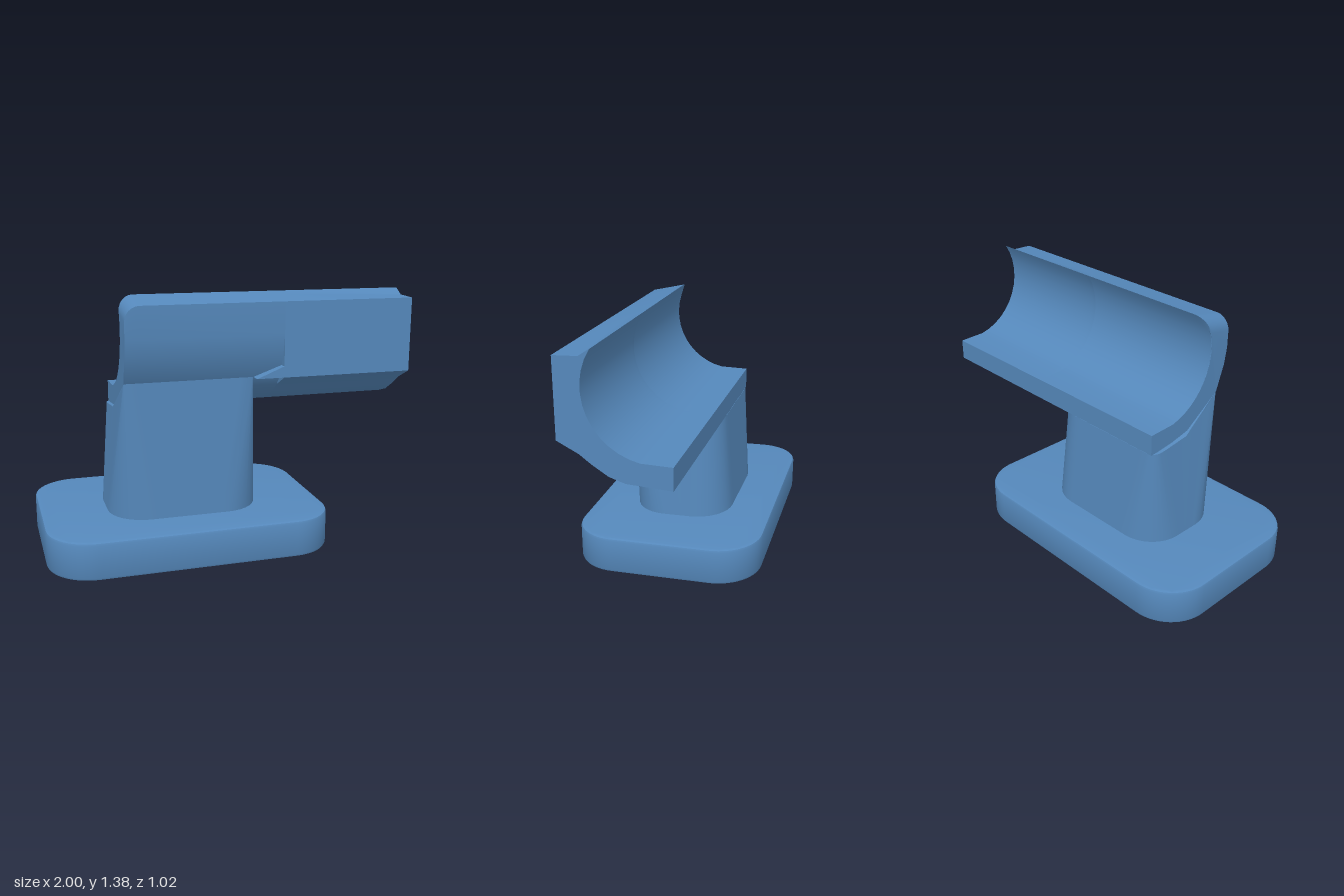
import * as THREE from 'three';
import { toCreasedNormals } from 'three/addons/utils/BufferGeometryUtils.js';

const material = new THREE.MeshStandardMaterial({ color: 0x5588bb });

// Underside of the cradle as [z, y], back to front
const UNDER = [[-0.225, 0.755], [0, 0.765], [0.08, 0.79], [0.16, 0.84], [0.22, 0.885], [0.265, 0.94]];

function underY(z) {
  if (z <= UNDER[0][0]) return UNDER[0][1];
  for (let i = 1; i < UNDER.length; i++) {
    const [z0, y0] = UNDER[i - 1], [z1, y1] = UNDER[i];
    if (z <= z1) return y0 + (y1 - y0) * (z - z0) / (z1 - z0);
  }
  return UNDER[UNDER.length - 1][1];
}

// Skin equal-length rings (counter-clockwise seen from the last one) and cap both ends
function loft(rings, project) {
  const pos = [];
  const tri = (...ps) => ps.forEach((p) => pos.push(p.x, p.y, p.z));
  for (let k = 0; k + 1 < rings.length; k++) {
    const a = rings[k], b = rings[k + 1];
    for (let i = 0; i < a.length; i++) {
      const j = (i + 1) % a.length;
      tri(a[i], a[j], b[j]);
      tri(a[i], b[j], b[i]);
    }
  }
  [[rings[0], -1], [rings[rings.length - 1], 1]].forEach(([ring, dir]) => {
    const flat = ring.map(project);
    THREE.ShapeUtils.triangulateShape(flat, []).forEach(([a, b, c]) => {
      const area = THREE.ShapeUtils.area([flat[a], flat[b], flat[c]]);
      if (area * dir > 0) tri(ring[a], ring[b], ring[c]);
      else tri(ring[a], ring[c], ring[b]);
    });
  });
  const g = new THREE.BufferGeometry();
  g.setAttribute('position', new THREE.Float32BufferAttribute(pos, 3));
  return toCreasedNormals(g, 0.5);
}

// Cradle cross-section at x; drop lowers the top edge, dip sinks its middle
function cradleRing(x, overPost, drop = 0, dip = 0) {
  const lip = 1.38 - drop, pts = [[0.33, 1.34 - drop]];
  if (overPost) pts.push([0.33, 1.17], [0.315, 1.08], ...UNDER.slice().reverse());
  else pts.push([0.33, 0.94], ...UNDER.slice(0, -1).reverse());
  pts.push([-0.225, 0.87]);
  const a0 = -1.39, a1 = Math.asin((lip - 1.2) / 0.333);
  for (let i = 0; i <= 12; i++) {
    const a = a0 + (a1 - a0) * i / 12;
    pts.push([-0.13 + 0.333 * Math.cos(a), 1.2 + 0.333 * Math.sin(a)]);
  }
  pts.push([0.205, lip - 0.012 - dip]);
  return pts.map(([z, y]) => new THREE.Vector3(x, y, z));
}

// Rounded rectangle ring in x-z; radii: back right, back left, front left, front right
function roundedRing(x0, x1, z0, z1, radii) {
  const corners = [[x1, z0, -1, 1], [x0, z0, 1, 1], [x0, z1, 1, -1], [x1, z1, -1, -1]];
  const arcs = corners.map(([cx, cz, sx, sz], k) => {
    const r = radii[k], arc = [];
    for (let i = 0; i <= 8; i++) {
      const a = (k + i / 8) * Math.PI / 2;
      arc.push(new THREE.Vector2(cx + sx * r + r * Math.cos(a), cz + sz * r - r * Math.sin(a)));
    }
    return arc;
  });
  const ring = [];
  arcs.forEach((arc, k) => {
    ring.push(...arc);
    const next = arcs[(k + 1) % 4][0];
    for (let i = 1; i < 10; i++) ring.push(arc[8].clone().lerp(next, i / 10));
  });
  return ring;
}

function basePlate() {
  const bevel = 0.015, r = 0.225, w = 0.7675 - bevel, d = 0.51 - bevel;
  const s = new THREE.Shape();
  s.absarc(w - r, d - r, r, 0, Math.PI / 2);
  s.absarc(-w + r, d - r, r, Math.PI / 2, Math.PI);
  s.absarc(-w + r, -d + r, r, Math.PI, Math.PI * 1.5);
  s.absarc(w - r, -d + r, r, Math.PI * 1.5, Math.PI * 2);
  const g = new THREE.ExtrudeGeometry(s, {
    depth: 0.2 - 2 * bevel, bevelThickness: bevel, bevelSize: bevel, bevelSegments: 2, curveSegments: 7,
  });
  g.rotateX(-Math.PI / 2).translate(-0.2325, bevel, 0);
  // Slight rise towards the back
  const p = g.attributes.position;
  for (let i = 0; i < p.count; i++) p.setY(i, p.getY(i) + (0.51 - p.getZ(i)) * 0.0245);
  return toCreasedNormals(g, 0.5);
}

// Tapered post whose top is cut to the cradle's underside
function post() {
  const low = roundedRing(-0.645, 0.18, -0.275, 0.275, [0.2, 0.2, 0.2, 0.2]);
  const high = roundedRing(-0.575, 0.12, -0.21, 0.265, [0.15, 0.005, 0.005, 0.005]);
  const bottom = low.map((p) => new THREE.Vector3(p.x, 0.2, p.y));
  const top = high.map((q, i) => {
    const y = underY(q.y), v = low[i].clone().lerp(q, (y - 0.2) / 0.74);
    return new THREE.Vector3(v.x, y, v.y);
  });
  return loft([bottom, top], (v) => new THREE.Vector2(v.x, -v.z));
}

export function createModel() {
  const group = new THREE.Group();
  const add = (name, geometry) => {
    const mesh = new THREE.Mesh(geometry, material);
    mesh.name = name;
    group.add(mesh);
  };
  const alongX = (v) => new THREE.Vector2(-v.z, v.y);

  add('basePlate', basePlate());
  add('post', post());

  // Cradle over the post, with a rounded upper end
  const rings = [];
  for (let i = 0; i <= 6; i++) {
    const a = (i / 6) * Math.PI / 2;
    rings.push(cradleRing(-0.575 + 0.08 * (1 - Math.cos(a)), true, 0.08 * (1 - Math.sin(a))));
  }
  rings.push(cradleRing(0.27, true));
  add('cradleOverPost', loft(rings, alongX));

  // Overhanging cradle, its top edge twisting towards the free end
  add('cradleArm', loft([cradleRing(0.27, false), cradleRing(0.3, false), cradleRing(1, false, 0, 0.023)], alongX));

  // Small wedge where the arm's lower front edge meets the post
  const wedge = new THREE.Shape([[0.12, 0.94], [0.27, 0.94], [0.27, 1.0]].map(([x, y]) => new THREE.Vector2(x, y)));
  add('cornerWedge', new THREE.ExtrudeGeometry(wedge, { depth: 0.08, bevelEnabled: false }).translate(0, 0, 0.25));

  return group;
}
